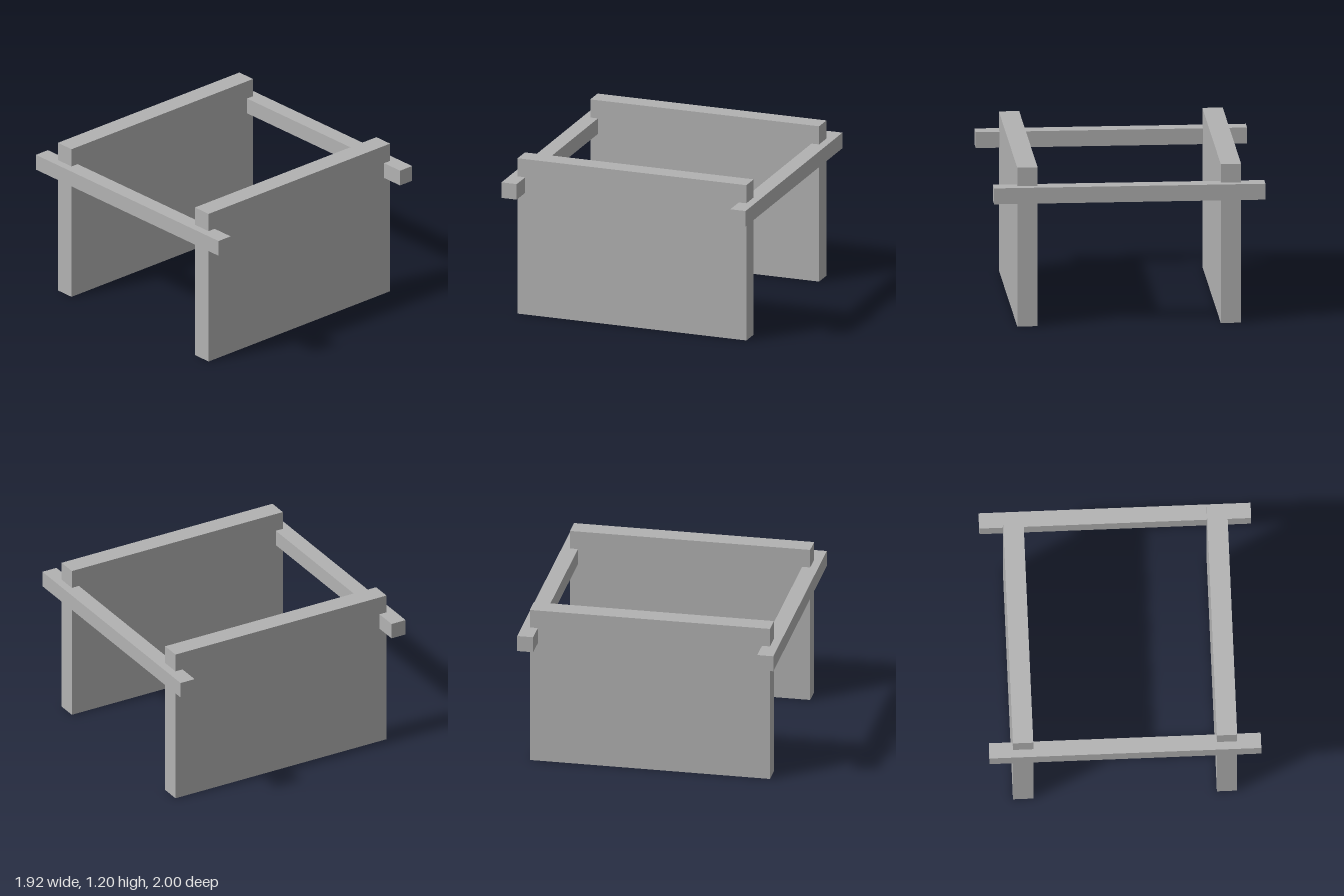
import * as THREE from 'three';

export function createModel() {
  const model = new THREE.Group();
  model.name = 'panelFrame';
  const grey = new THREE.MeshStandardMaterial({ color: 0xb2b2b2 });
  grey.name = 'grey';

  function addBox(name, size, position) {
    const mesh = new THREE.Mesh(new THREE.BoxGeometry(...size), grey);
    mesh.name = name;
    mesh.position.set(...position);
    model.add(mesh);
  }

  // Upright end panels
  addBox('frontPanel', [1.8, 1.2, 0.15], [0, 0.6, 0.75]);
  addBox('backPanel', [1.8, 1.2, 0.15], [0, 0.6, -0.75]);

  // Side rails let into the panel edges
  addBox('leftRail', [0.12, 0.12, 2], [0.9, 1, 0]);
  addBox('rightRail', [0.12, 0.12, 2], [-0.9, 1, 0]);

  return model;
}
